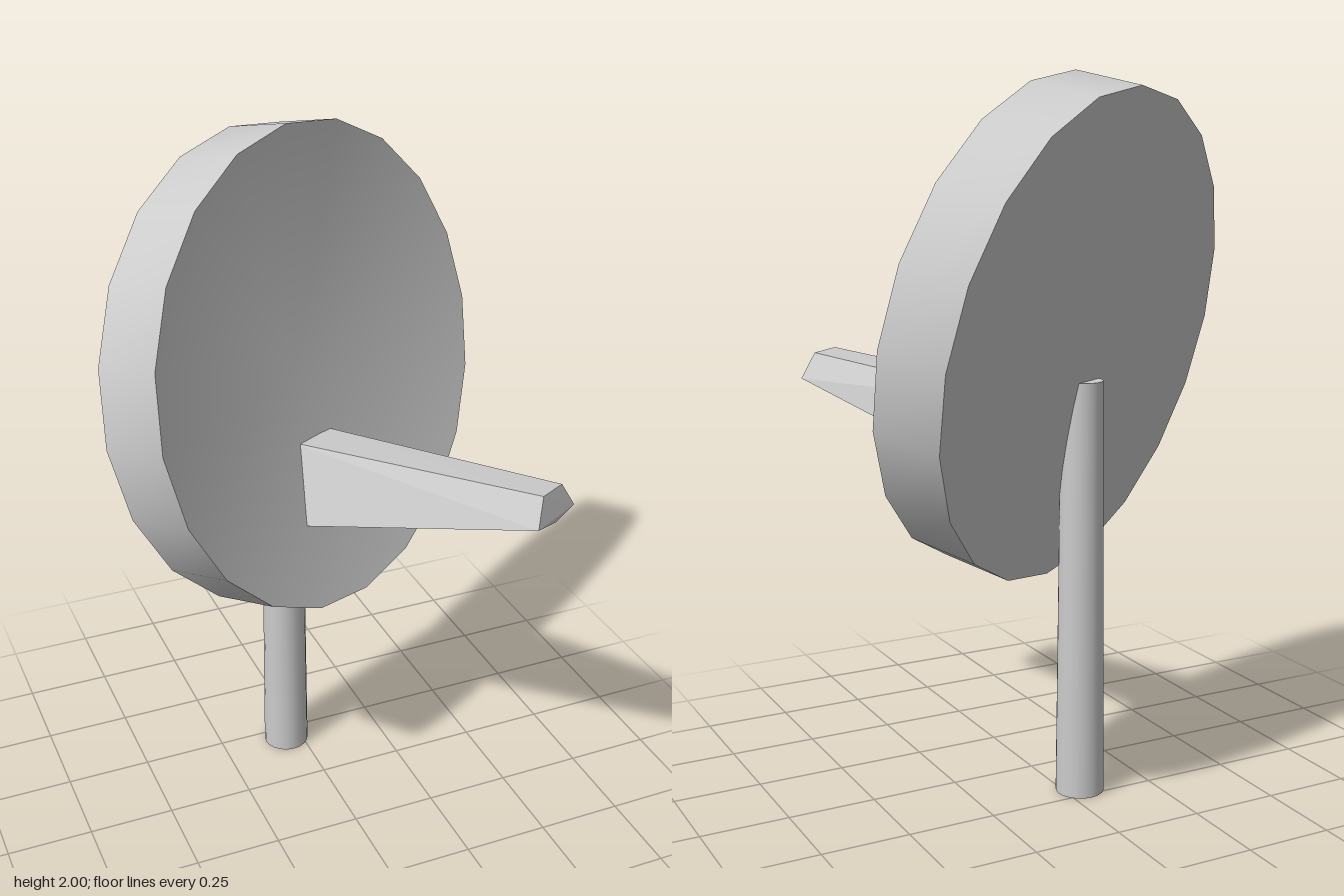
import * as THREE from 'three';
import { toCreasedNormals } from 'three/addons/utils/BufferGeometryUtils.js';
import { ConvexGeometry } from 'three/addons/geometries/ConvexGeometry.js';

const V = (x, y, z) => new THREE.Vector3(x, y, z);

export function createModel() {
  const model = new THREE.Group();
  const material = new THREE.MeshStandardMaterial({ color: 0xcccccc });

  function add(name, geometry, mat = material) {
    const mesh = new THREE.Mesh(geometry, mat);
    mesh.name = name;
    model.add(mesh);
    return mesh;
  }

  // Dish: thick 20-sided disc, flat at the back and hollowed to a shallow cone in front
  const radius = 0.68, depth = 0.202;
  const profile = [[0, 0], [radius, 0], [radius, depth], [0, depth - 0.12]]
    .map(([r, h]) => new THREE.Vector2(r, h));
  const dishGeometry = new THREE.LatheGeometry(profile, 20).rotateX(Math.PI / 2);
  const dish = add('dish', toCreasedNormals(dishGeometry, 0.6));
  dish.position.set(-0.049, 1.293, -0.256);
  dish.rotation.set(THREE.MathUtils.degToRad(-12), Math.PI / 6, 0, 'YXZ');

  // Post: slightly tapered, its top buried in the dish
  const postHeight = 1.18;
  const post = add('post', new THREE.CylinderGeometry(0.058, 0.069, postHeight, 20));
  post.position.set(-0.047, postHeight / 2, -0.205);

  // Feed arm: tapered five-sided horn, each edge running from dish to tip
  const edges = [
    [V(-0.04, 1.12, -0.075), V(0.365, 1.2, 0.58)],
    [V(0.08, 1.115, -0.145), V(0.447, 1.195, 0.532)],
    [V(0.17, 0.907, -0.11), V(0.493, 1.122, 0.525)],
    [V(0.08, 0.887, 0.0), V(0.413, 1.11, 0.572)],
    [V(-0.072, 0.916, 0.03), V(0.335, 1.125, 0.617)],
  ];
  // The base is extended a little so that it sinks into the dish
  const corners = edges.flatMap(([base, tip]) => [base.clone().lerp(tip, -0.05), tip]);
  const flat = new THREE.MeshStandardMaterial({ color: 0xcccccc, flatShading: true });
  add('feedArm', new ConvexGeometry(corners), flat);

  return model;
}
